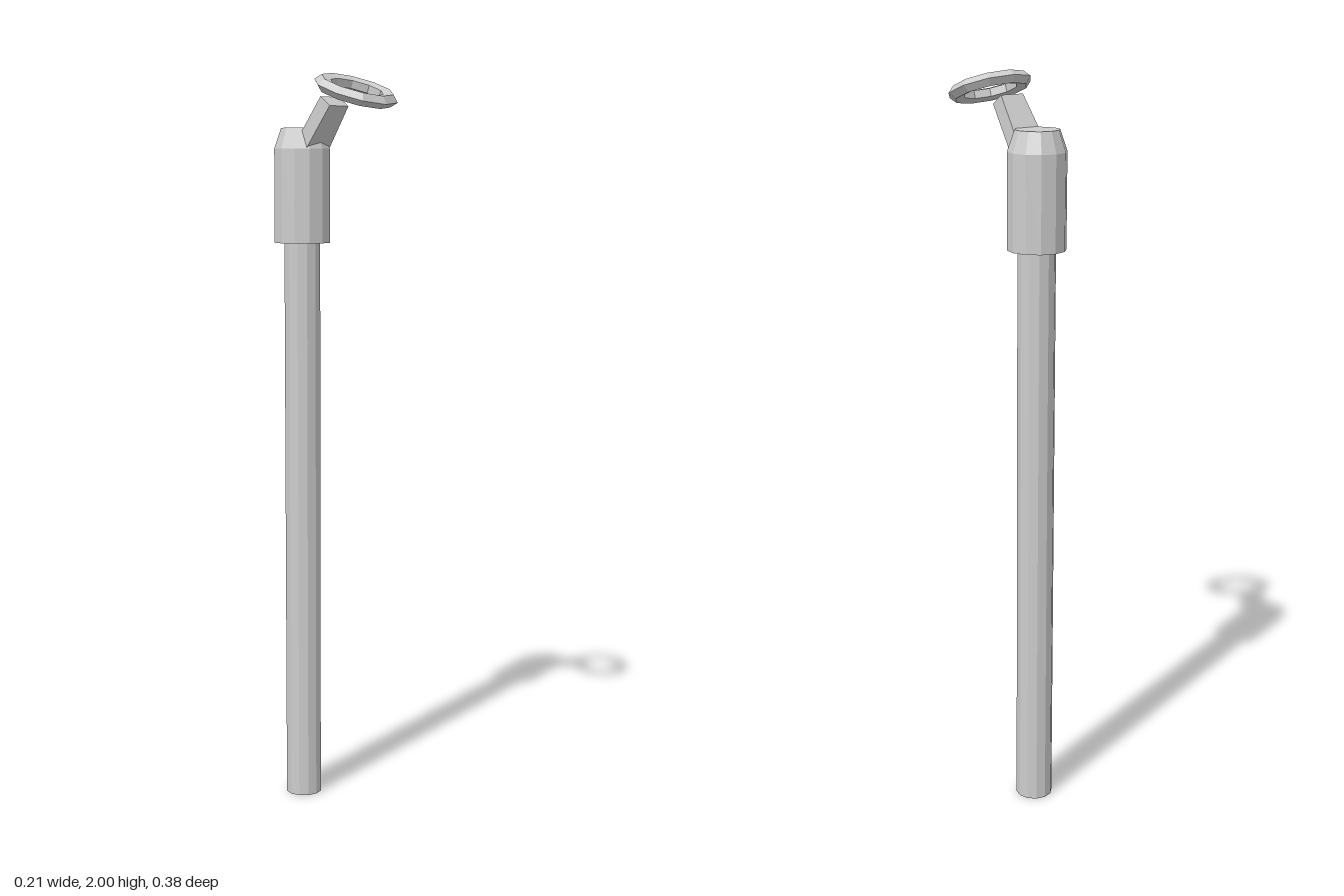
import * as THREE from 'three';

export function createModel() {
  const model = new THREE.Group();
  const material = new THREE.MeshStandardMaterial({ color: 0xcccccc, flatShading: true });
  const add = (name, geometry, x, y, z) => {
    const mesh = new THREE.Mesh(geometry, material);
    mesh.name = name;
    mesh.position.set(x, y, z);
    model.add(mesh);
    return mesh;
  };
  const poleZ = -0.116;

  // Long straight pole
  add('pole', new THREE.CylinderGeometry(0.05, 0.05, 1.6, 12), 0, 0.8, poleZ);

  // Socket cap with a chamfered top, closed underneath
  const capProfile = [[0, 1.555], [0.077, 1.555], [0.077, 1.805], [0.058, 1.86], [0, 1.86]]
    .map(([r, y]) => new THREE.Vector2(r, y));
  add('cap', new THREE.LatheGeometry(capProfile, 12), 0, 0, poleZ);

  // Leaning arm, narrower at its free end
  const armLength = 0.17;
  const armGeometry = new THREE.BoxGeometry(0.09, armLength, 0.042);
  const p = armGeometry.attributes.position;
  for (let i = 0; i < p.count; i++) {
    if (p.getY(i) > 0) p.setX(i, p.getX(i) * 0.78);
  }
  armGeometry.translate(0, -armLength / 2, 0);
  add('arm', armGeometry, 0, 1.926, 0.006).rotation.x = Math.PI / 5;

  // Tilted ring with a slightly flattened five-sided section
  const ringGeometry = new THREE.TorusGeometry(0.09, 0.023, 5, 10);
  ringGeometry.rotateZ(Math.PI / 2);
  ringGeometry.scale(1, 1, 0.78);
  ringGeometry.rotateX(Math.PI / 2);
  add('ring', ringGeometry, 0, 1.95, 0.084).rotation.x = THREE.MathUtils.degToRad(20);

  return model;
}
